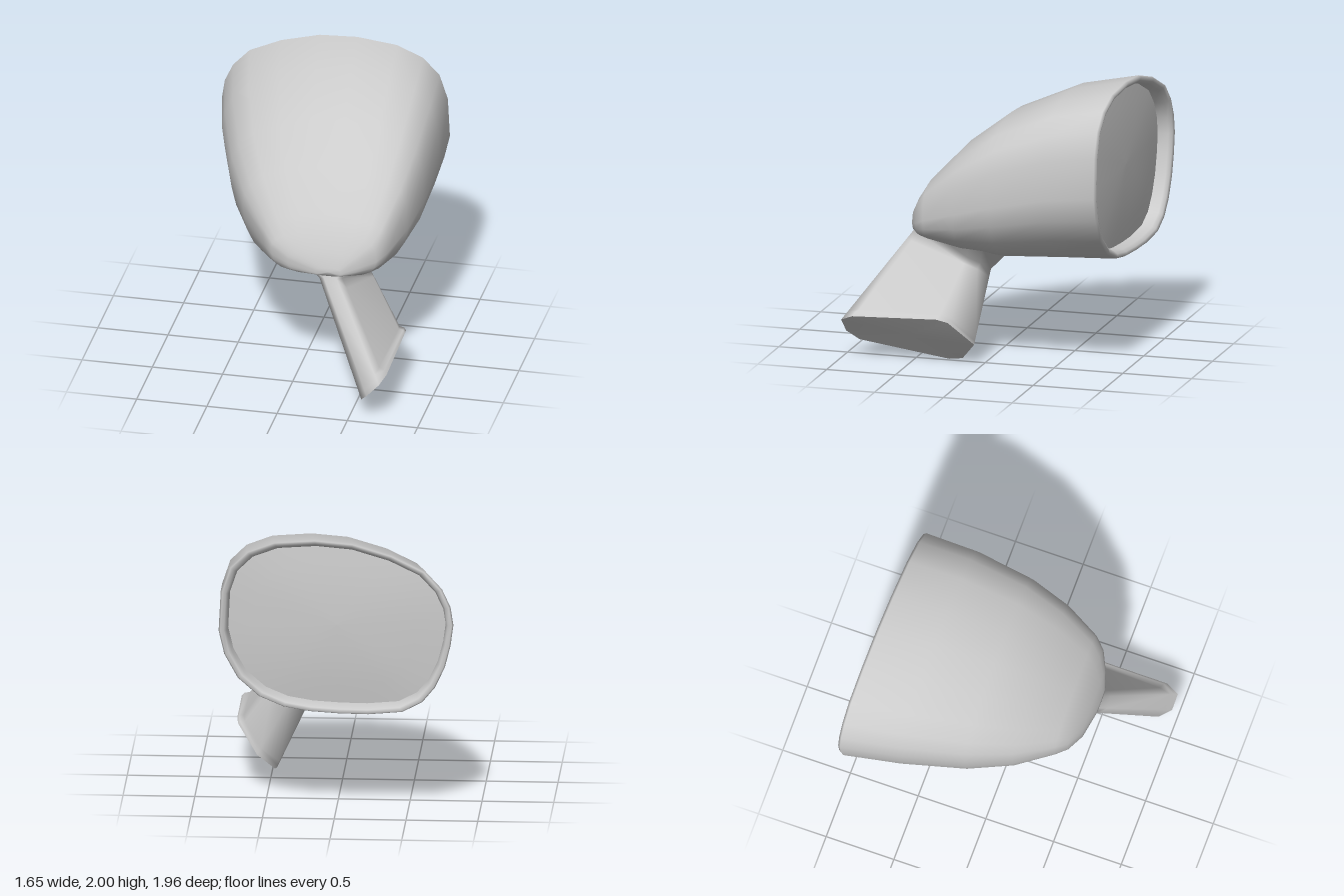
import * as THREE from 'three';

const grey = new THREE.MeshStandardMaterial({ color: 0xcccccc, side: THREE.DoubleSide });

// Smooth skin through closed rings of [x, y, z] points
function loft(rings) {
  const n = rings[0].length, index = [];
  for (let i = 0; i < rings.length - 1; i++) {
    for (let j = 0; j < n; j++) {
      const k = (j + 1) % n;
      const a = i * n + j, b = i * n + k, c = (i + 1) * n + k, d = (i + 1) * n + j;
      index.push(a, d, c, a, c, b);
    }
  }
  return build(rings.flat(), index);
}

// Flat fan from the middle of a ring
function fan(ring) {
  const n = ring.length, index = [];
  const centre = [0, 1, 2].map(c => ring.reduce((s, p) => s + p[c], 0) / n);
  for (let j = 0; j < n; j++) index.push(n, j, (j + 1) % n);
  return build([...ring, centre], index);
}

function build(points, index) {
  const g = new THREE.BufferGeometry();
  g.setAttribute('position', new THREE.Float32BufferAttribute(points.flat(), 3));
  g.setIndex(index);
  g.computeVertexNormals();
  return g;
}

function part(name, geometry) {
  const mesh = new THREE.Mesh(geometry, grey);
  mesh.name = name;
  return mesh;
}

// Outline of the housing mouth, from its -x side over the top
const outline = [
  [-0.83, 1.4], [-0.81, 1.53], [-0.75, 1.66], [-0.63, 1.79], [-0.4, 1.9], [-0.12, 1.98],
  [0.15, 2.0], [0.44, 1.975], [0.63, 1.9], [0.75, 1.78], [0.81, 1.6], [0.825, 1.31],
  [0.785, 1.14], [0.69, 0.97], [0.54, 0.84], [0.37, 0.77], [0.18, 0.74], [-0.03, 0.73],
  [-0.23, 0.73], [-0.47, 0.755], [-0.61, 0.83], [-0.7, 0.94], [-0.77, 1.09], [-0.81, 1.25],
];

// The outline fitted to a box at depth z; lean tilts it, boxy squares its lower half
function section([z, x0, x1, y0, y1, lean, boxy]) {
  const square = v => Math.sign(v) * Math.abs(v) ** (1 - boxy);
  return outline.map(([px, py]) => {
    let u = (px + 0.0025) / 0.8275, v = (py - 1.365) / 0.635;
    if (v < 0) [u, v] = [square(u), square(v)];
    const x = (x0 + x1 + (x1 - x0) * u) / 2;
    const y = (y0 + y1 + (y1 - y0) * v) / 2;
    return [x, y, z + lean * x];
  });
}

export function createModel() {
  const model = new THREE.Group();

  // Housing: recessed wall, bevelled lip, rim, then the shell tapering to the nose
  const innerEdge = [-0.83, -0.77, 0.75, 0.795, 1.94, 0.048, 0];
  const housing = [
    innerEdge,
    [-0.905, -0.775, 0.755, 0.79, 1.945, 0.048, 0],
    [-0.93, -0.79, 0.775, 0.775, 1.965, 0.048, 0],
    [-0.938, -0.817, 0.8, 0.752, 1.99, 0.048, 0],
    [-0.92, -0.828, 0.812, 0.742, 2.0, 0.048, 0],
    [-0.54, -0.74, 0.822, 0.735, 1.93, 0.03, 0],
    [-0.12, -0.59, 0.8, 0.73, 1.75, 0.01, 0.06],
    [0.17, -0.43, 0.745, 0.775, 1.53, 0, 0.15],
    [0.41, -0.235, 0.65, 0.84, 1.28, 0, 0.25],
    [0.48, -0.16, 0.59, 0.86, 1.17, 0, 0.3],
    [0.54, -0.03, 0.47, 0.878, 1.06, 0, 0.3],
    [0.572, 0.18, 0.36, 0.89, 0.95, 0, 0.3],
    [0.574, 0.27, 0.27, 0.92, 0.92, 0, 0],
  ].map(section);
  model.add(part('housing', loft(housing)));

  // Mirror glass, a shallow dome set inside the rim
  const glass = [0, 0.25, 0.5, 0.75, 1].map(r => section(innerEdge).map(([x, y, z]) => {
    const gx = -0.01 + (x + 0.01) * r, gy = 1.37 + (y - 1.37) * r;
    return [gx, gy, -0.83 + 0.048 * gx - 0.04 * (1 - r * r)];
  }));
  model.add(part('mirrorGlass', loft(glass.reverse()).scale(1, 1, 1)));

  // Stem: slanted foot, neck and flare into the underside of the housing
  const foot = [
    [0.72, 0.29, 0.98], [0.63, 0.19, 0.97], [0.575, 0.12, 0.89], [0.47, 0, 0.27], [0.48, 0.015, 0.17],
    [0.6, 0.15, 0.05], [0.74, 0.33, 0.2], [0.75, 0.35, 0.28], [0.755, 0.33, 0.89],
  ];
  const neck = [
    [0.33, 0.87, 0.57], [0.24, 0.87, 0.575], [0.2, 0.85, 0.54], [0.175, 0.66, 0.13], [0.2, 0.63, 0.05],
    [0.33, 0.63, 0.01], [0.45, 0.7, 0.05], [0.47, 0.74, 0.14], [0.36, 0.86, 0.53],
  ];
  const flare = [
    [0.35, 0.93, 0.555], [0.22, 0.93, 0.555], [0.13, 0.9, 0.5], [0.04, 0.77, 0.1], [0.08, 0.76, -0.1],
    [0.36, 0.765, -0.12], [0.57, 0.85, 0], [0.58, 0.88, 0.1], [0.46, 0.93, 0.46],
  ];
  const blend = t => foot.map((p, i) => p.map((v, c) => v + (neck[i][c] - v) * t));
  // The upper edge of the foot stands proud of the stem
  const instep = blend(0.1).map(([x, y, z], i) => i > 5 ? [x - 0.02, y - 0.015, z] : [x, y, z]);
  model.add(part('stem', loft([foot, blend(0.05), instep, blend(0.9), neck, flare])));
  model.add(part('stemFoot', fan(foot)));

  return model;
}
